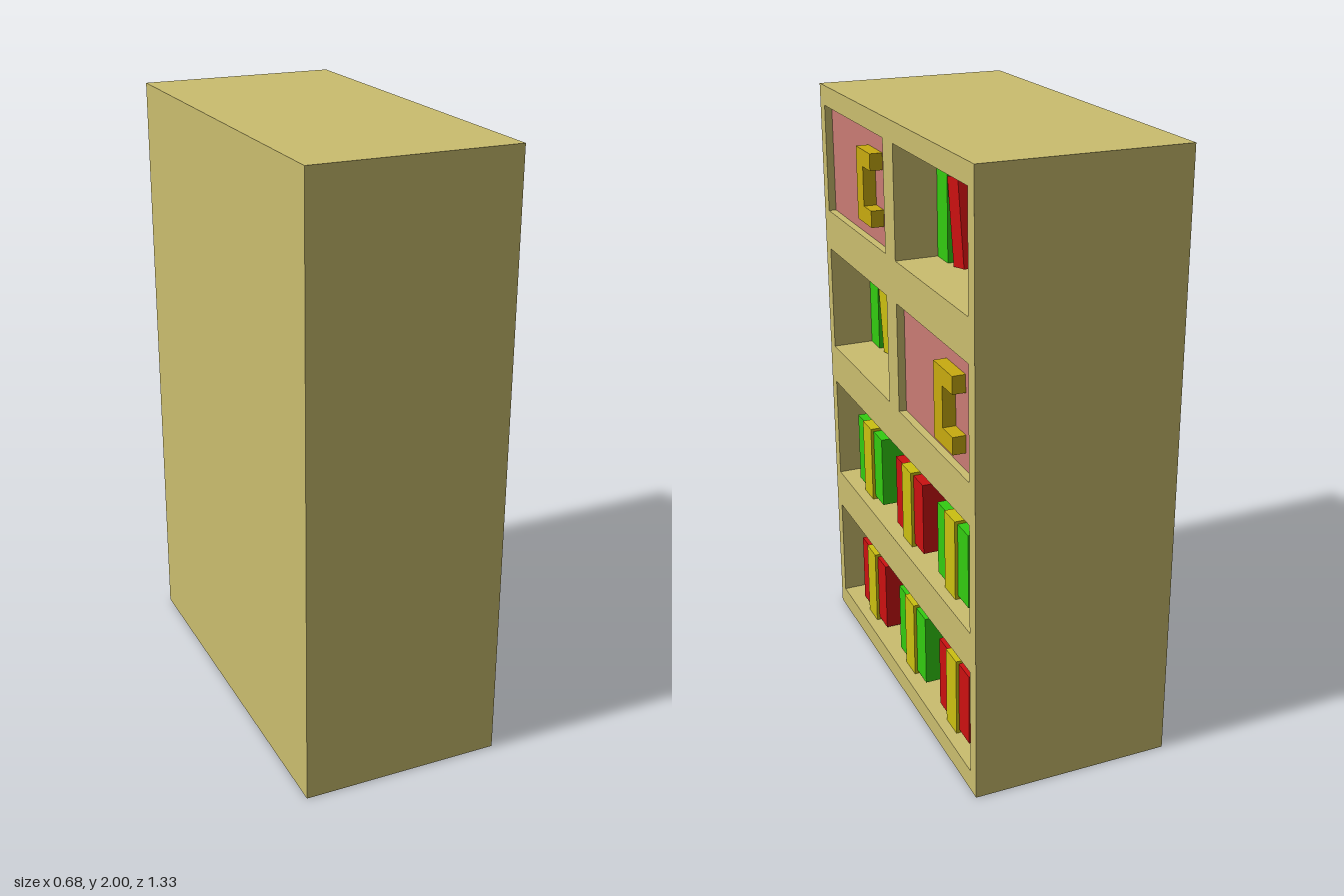
import * as THREE from 'three';

const COLORS = {
  wood: 0xcabd6e, pink: 0xc97b74, brass: 0xc8ab10, yellow: 0xccc011,
  green: 0x33cc11, red: 0xcc1111, blue: 0x3311cc, cyan: 0x11bbcc,
};
const materials = {};
for (const key in COLORS) materials[key] = new THREE.MeshStandardMaterial({ color: COLORS[key] });

const FRONT = 0.325, INNER_BACK = -0.29, BACK = -0.34;
const ROWS = [0.07, 0.57, 1.07, 1.57];
const OPENING = 0.363;

function add(parent, name, geometry, color, x = 0, y = 0, z = 0) {
  const mesh = new THREE.Mesh(geometry, materials[color]);
  mesh.name = name;
  mesh.position.set(x, y, z);
  parent.add(mesh);
  return mesh;
}

function rectangle(target, u0, u1, y0, y1) {
  target.moveTo(u0, y0);
  target.lineTo(u1, y0);
  target.lineTo(u1, y1);
  target.lineTo(u0, y1);
  target.closePath();
  return target;
}

// Cabinet frame with its openings, plus the back panel; shape u runs along -z
function cabinet(parent) {
  const shape = rectangle(new THREE.Shape(), -0.667, 0.667, 0, 2);
  ROWS.forEach((y, i) => {
    const spans = i < 2 ? [[-0.622, 0.622]] : [[-0.622, -0.045], [0.045, 0.622]];
    for (const [a, b] of spans) shape.holes.push(rectangle(new THREE.Path(), a, b, y, y + OPENING));
  });
  const frame = new THREE.ExtrudeGeometry(shape, { depth: FRONT - INNER_BACK, bevelEnabled: false });
  frame.rotateY(Math.PI / 2);
  add(parent, 'cabinetFrame', frame, 'wood', INNER_BACK);
  add(parent, 'backPanel', new THREE.BoxGeometry(INNER_BACK - BACK, 2, 1.334), 'wood', (BACK + INNER_BACK) / 2, 1, 0);
}

// Recessed door with a C-shaped pull
function door(parent, z, y, handleZ, handleY, w, h) {
  const group = new THREE.Group();
  group.name = 'door';
  add(group, 'doorPanel', new THREE.BoxGeometry(0.03, OPENING, 0.577), 'pink', 0.285, y + OPENING / 2, z);
  const s = new THREE.Shape(), spine = w * 0.47, arm = h * 0.23;
  [[0, 0], [w, 0], [w, arm], [spine, arm], [spine, h - arm], [w, h - arm], [w, h], [0, h]]
    .forEach(([a, b], i) => (i ? s.lineTo(a, b) : s.moveTo(a, b)));
  const handle = new THREE.ExtrudeGeometry(s, { depth: 0.045, bevelEnabled: false });
  handle.rotateY(Math.PI / 2);
  add(group, 'doorHandle', handle, 'brass', 0.297, handleY, handleZ);
  parent.add(group);
}

// Upright or leaning books: [colour, centre z, lean]
function books(parent, y, list) {
  for (const [color, z, lean] of list) {
    const book = add(parent, 'book', new THREE.BoxGeometry(0.25, lean ? 0.272 : 0.282, 0.083), color,
      0.06, y + (lean ? 0.143 : 0.141), z);
    book.rotation.x = lean * 0.165;
  }
}

// Wrapped gift with crossed ribbons and a two-loop bow
function gift(parent, color, y, z) {
  const group = new THREE.Group();
  group.name = 'gift';
  group.position.set(0.155, y, z);
  add(group, 'giftBox', new THREE.BoxGeometry(0.25, 0.25, 0.25), color, 0, 0.138, 0);
  add(group, 'ribbonAcross', new THREE.BoxGeometry(0.085, 0.272, 0.27), 'yellow', 0, 0.137, 0);
  add(group, 'ribbonAlong', new THREE.BoxGeometry(0.27, 0.272, 0.085), 'yellow', 0, 0.137, 0);
  for (const side of [-1, 1]) {
    const loop = new THREE.TorusGeometry(0.027, 0.016, 10, 24);
    loop.rotateY(Math.PI / 2);
    loop.scale(1, 0.7, 1);
    add(group, 'bowLoop', loop, 'yellow', 0, 0.3, side * 0.061);
    const tail = new THREE.TubeGeometry(new THREE.QuadraticBezierCurve3(
      new THREE.Vector3(0, 0.275, side * 0.005),
      new THREE.Vector3(0, 0.282, side * 0.02),
      new THREE.Vector3(0, 0.298, side * 0.03)), 6, 0.007, 8);
    add(group, 'bowKnot', tail, 'yellow');
  }
  parent.add(group);
}

export function createModel() {
  const model = new THREE.Group();
  model.name = 'bookcase';
  cabinet(model);
  door(model, 0.3335, ROWS[3], 0.25, 1.635, 0.13, 0.235);
  door(model, -0.3335, ROWS[2], -0.397, 1.125, 0.145, 0.245);
  books(model, ROWS[3], [['green', -0.088, 0], ['red', -0.195, 1], ['blue', -0.467, -1], ['cyan', -0.578, 0]]);
  books(model, ROWS[2], [['green', 0.579, 0], ['yellow', 0.472, 1], ['red', 0.285, -1], ['blue', 0.198, -1], ['cyan', 0.09, 0]]);
  for (let row = 0; row < 2; row++) {
    [0.395, 0, -0.38].forEach((z, i) => gift(model, (row + i) % 2 ? 'green' : 'red', ROWS[row], z));
  }
  return model;
}
